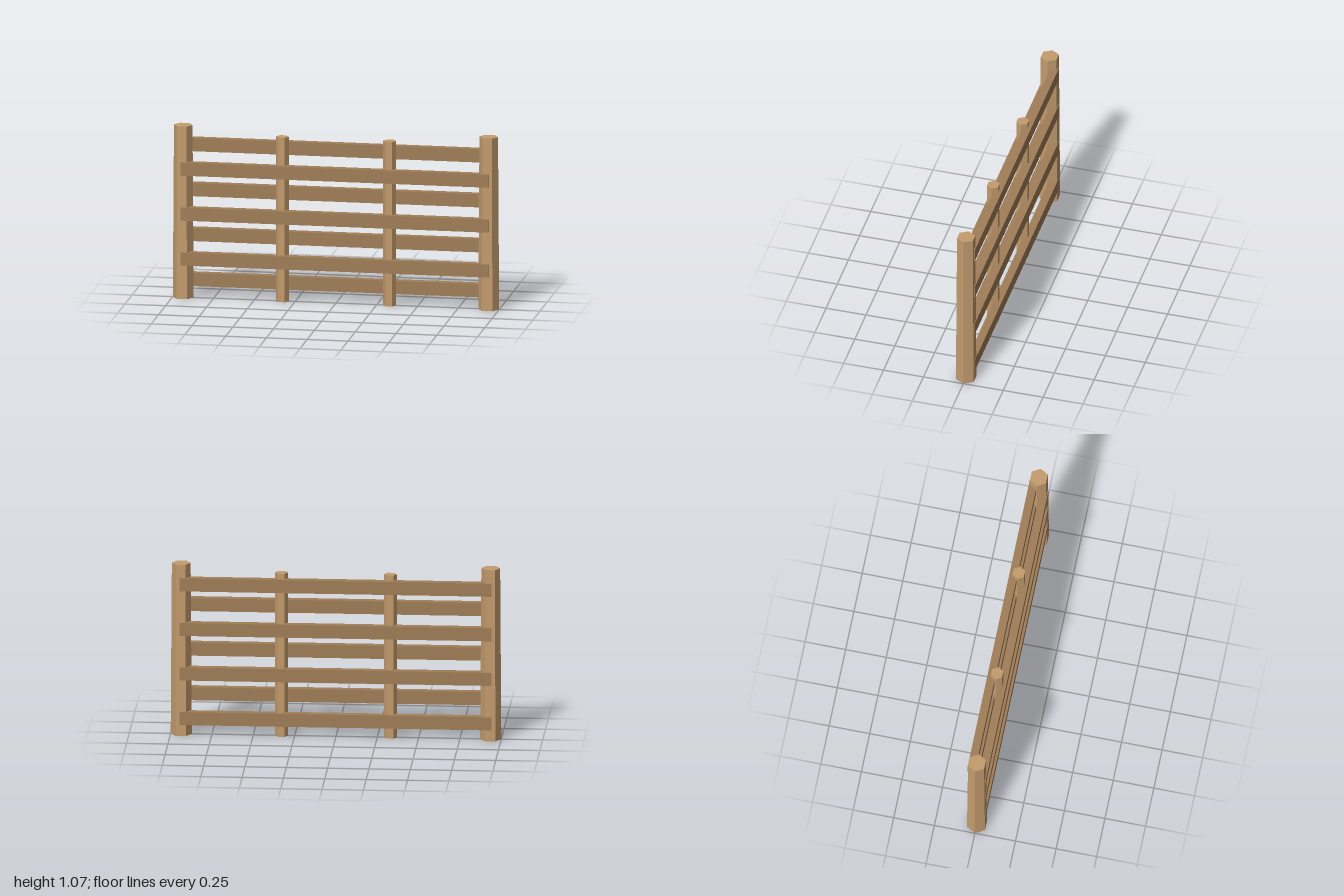
import * as THREE from 'three';

export function createModel() {
  const fence = new THREE.Group();
  fence.name = 'fence';
  const postWood = new THREE.MeshStandardMaterial({ color: 0xc49c6e, flatShading: true });
  const railWood = new THREE.MeshStandardMaterial({ color: 0xa27f58, flatShading: true });

  function add(name, geometry, material, x, y, z) {
    const mesh = new THREE.Mesh(geometry, material);
    mesh.name = name;
    mesh.position.set(x, y, z);
    fence.add(mesh);
  }

  // Six-sided post with corners pointing along x
  const post = (top, bottom, height) =>
    new THREE.CylinderGeometry(top, bottom, height, 6, 1, false, Math.PI / 6);

  // Tapered end posts and slim inner posts, mirrored
  for (const [side, label] of [[1, 'left'], [-1, 'right']]) {
    add(label + 'EndPost', post(0.057, 0.064, 1.067), postWood, side * 0.936, 1.067 / 2, 0);
    add(label + 'InnerPost', post(0.04, 0.04, 1.018), postWood, side * 0.329, 1.018 / 2, 0);
  }

  // Rails alternate between the back and the front of the posts
  const rail = new THREE.BoxGeometry(1.886, 0.081, 0.049);
  for (let i = 0; i < 7; i++) {
    const front = i % 2 === 1;
    add((front ? 'frontRail' : 'backRail') + (Math.floor(i / 2) + 1), rail, railWood,
      0, 0.109 + i * 0.1391, front ? 0.0325 : -0.0325);
  }
  return fence;
}
